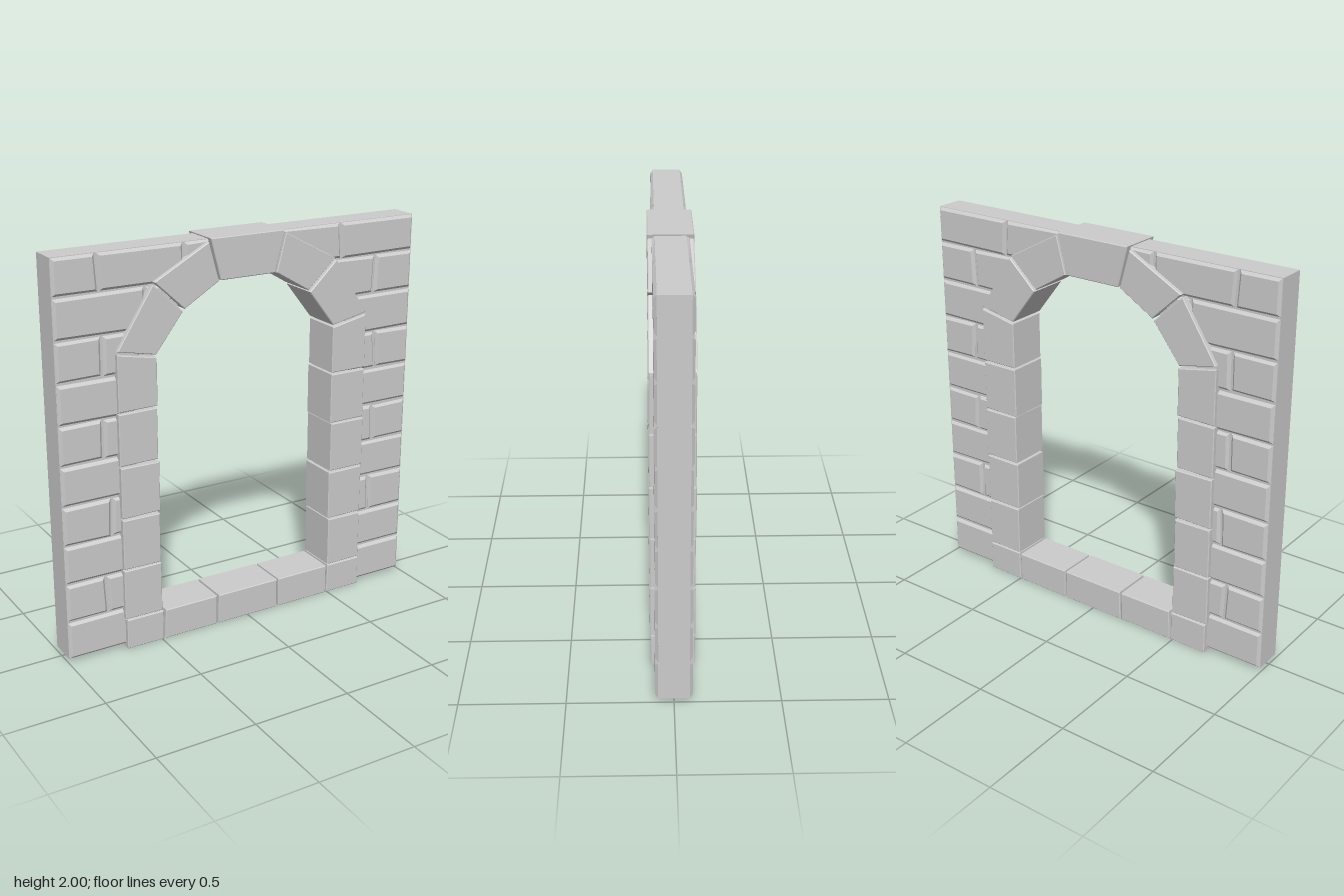
import * as THREE from 'three';

const material = new THREE.MeshStandardMaterial({ color: 0xcccccc, flatShading: true });

// Small seeded jitter for hand-cut irregularity
let seed = 7;
const jitter = (amount) => {
  seed = (seed * 16807) % 2147483647;
  return (seed / 2147483647 - 0.5) * 2 * amount;
};

// Prism from an x/y outline, centred on z = 0, with optional chamfer and hole
function prism(name, points, halfDepth, chamfer = 0, hole = null) {
  const shape = new THREE.Shape(points.map(([x, y]) => new THREE.Vector2(x, y)));
  if (hole) shape.holes.push(new THREE.Path(hole.map(([x, y]) => new THREE.Vector2(x, y))));
  const depth = 2 * (halfDepth - chamfer);
  const geometry = new THREE.ExtrudeGeometry(shape, {
    depth,
    bevelEnabled: chamfer > 0,
    bevelThickness: chamfer,
    bevelSize: chamfer,
    bevelOffset: -chamfer,
    bevelSegments: 1,
  });
  geometry.translate(0, 0, -depth / 2);
  const mesh = new THREE.Mesh(geometry, material);
  mesh.name = name;
  return mesh;
}

// Half-width of the frame's centre line at a height; wall bricks end behind it
const centreLine = [[0.6, 1.5], [0.43, 1.755], [0.19, 1.9]];
function innerX(y) {
  if (y <= centreLine[0][1]) return 0.6;
  for (let i = 0; i < 2; i++) {
    const [x0, y0] = centreLine[i], [x1, y1] = centreLine[i + 1];
    if (y <= y1) return x0 + (x1 - x0) * (y - y0) / (y1 - y0);
  }
  return 0.19;
}

// Ten brick courses on one side; splits[i] lists the joints of course i
function brickCourses(name, side, splits) {
  const group = new THREE.Group();
  group.name = name;
  const gap = 0.005;
  splits.forEach((joints, row) => {
    const bottom = (row === 0 ? 0.015 : row * 0.2 + 0.012) + (row ? gap : 0);
    const top = row === 9 ? 1.992 : (row + 1) * 0.2 + 0.012 - gap;
    let outer = [0.99, 0.99];
    [...joints, null].forEach((joint) => {
      const lean = jitter(0.008);
      const inner = joint === null
        ? [Math.min(innerX(bottom), outer[0] - 0.03), Math.min(innerX(top), outer[1] - 0.03)]
        : [joint + gap + lean, joint + gap - lean];
      const tilt = row === 9 ? 0 : jitter(0.004);
      const points = [
        [side * inner[0], bottom + (row ? jitter(0.004) : 0)],
        [side * outer[0], bottom],
        [side * outer[1], top],
        [side * inner[1], top + tilt],
      ];
      group.add(prism('wallBrick', side > 0 ? points : points.reverse(), 0.086 + jitter(0.002), 0.014));
      if (joint !== null) outer = [joint - gap + lean, joint - gap - lean];
    });
  });
  return group;
}

export function createModel() {
  seed = 7;
  const model = new THREE.Group();
  model.name = 'stoneArchway';

  // Mortar core that fills the joints
  const half = [[0.515, 0.145], [0.515, 1.49], [0.36, 1.705], [0.155, 1.815]];
  const opening = [...half, ...half.map(([x, y]) => [-x, y]).reverse()];
  model.add(prism('mortarCore', [[-0.992, 0.015], [0.992, 0.015], [0.992, 1.994], [-0.992, 1.994]], 0.072, 0, opening));

  // Wall bricks on both sides
  model.add(brickCourses('rightWall', -1,
    [[], [0.78], [], [0.74], [], [0.77], [], [0.76], [0.53], [0.77, 0.33]]));
  model.add(brickCourses('leftWall', 1,
    [[], [], [0.77], [], [0.78], [], [0.78], [], [0.76], [0.55]]));

  const frame = new THREE.Group();
  frame.name = 'archFrame';
  model.add(frame);
  const frameStone = (name, points) => frame.add(prism(name, points, 0.108 + jitter(0.002), 0.004));

  // Sill blocks
  const sill = [-0.69, -0.485, -0.178, 0.183, 0.495, 0.7];
  for (let i = 0; i < 5; i++) {
    const a = sill[i] + (i ? 0.005 : 0), b = sill[i + 1] - (i < 4 ? 0.005 : 0);
    const lean = i ? jitter(0.004) : 0;
    frameStone('sillStone', [[a + lean, 0], [b, 0], [b, 0.157], [a - lean, 0.157]]);
  }

  for (const side of [-1, 1]) {
    const mirrored = (points) => (side > 0 ? points : points.map(([x, y]) => [-x, y]).reverse());
    // Jamb blocks, the top one cut at a slant to carry the arch
    for (let i = 0; i < 5; i++) {
      const y0 = 0.165 + i * 0.268, y1 = y0 + 0.258;
      const inner = 0.497 + jitter(0.003), outer = 0.697 + jitter(0.003);
      const last = i === 4;
      frameStone('jambStone', mirrored([
        [inner, y0 + jitter(0.003)], [outer, y0],
        [outer, last ? 1.515 : y1], [inner, last ? 1.475 : y1 + jitter(0.003)],
      ]));
    }
    // Lower and upper arch stones
    frameStone('archStone', mirrored([[0.498, 1.488], [0.695, 1.53], [0.508, 1.82], [0.353, 1.675]]));
    frameStone('archStone', mirrored([[0.345, 1.685], [0.5, 1.83], [0.212, 1.985], [0.16, 1.795]]));
  }

  // Keystone
  frameStone('keystone', [[-0.15, 1.797], [0.15, 1.797], [0.203, 2], [-0.203, 2]]);

  return model;
}
